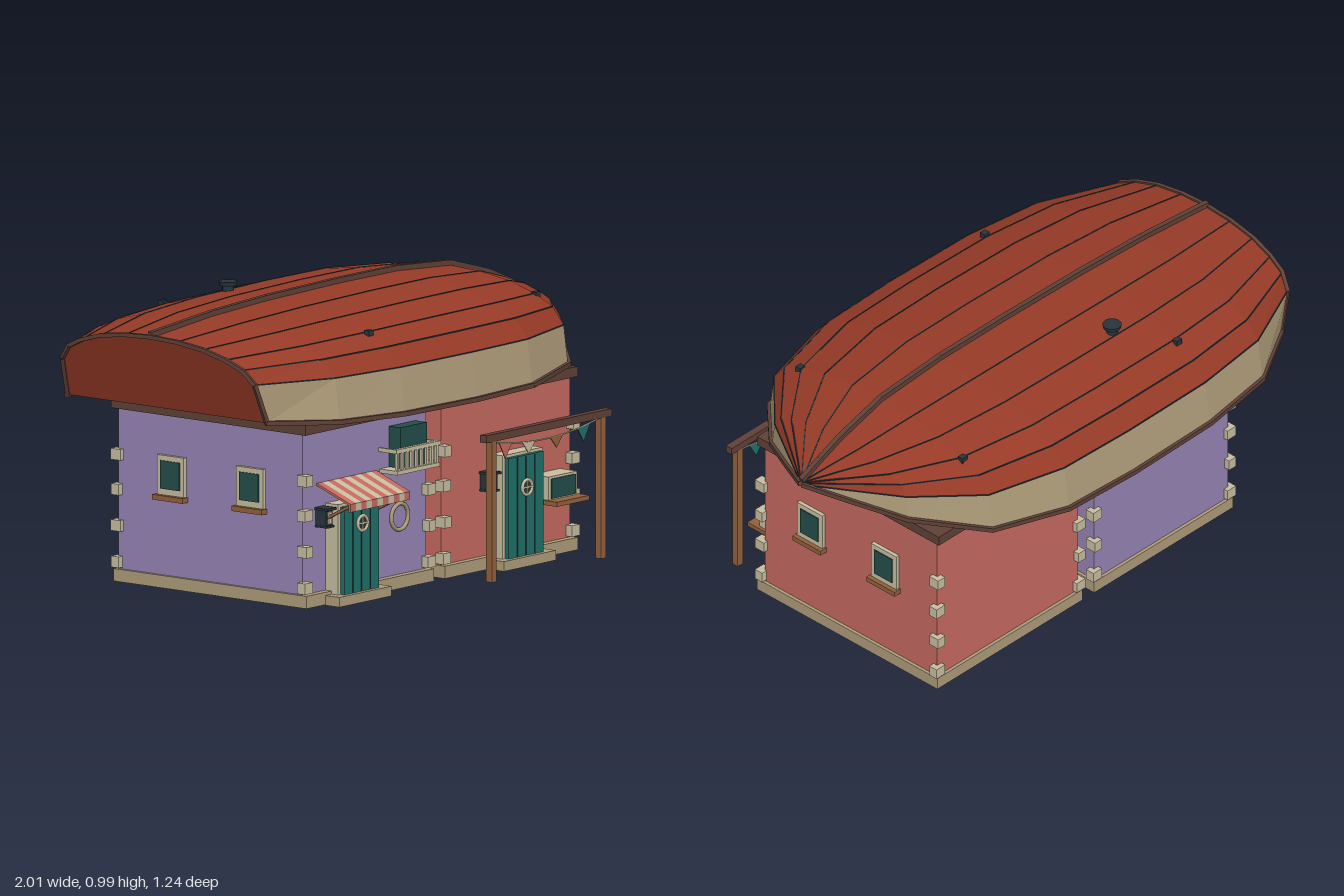
import * as THREE from 'three';

const mat = (name, color, side = THREE.FrontSide) => {
  const m = new THREE.MeshStandardMaterial({ color, side });
  m.name = name;
  return m;
};

export function createModel() {
  const M = {
    salmon: mat('salmon', 0xc4685f), purple: mat('purple', 0x9482b2),
    red: mat('hullRed', 0x963a27), cream: mat('cream', 0xc6bc9f),
    sand: mat('sand', 0xad9b79), teal: mat('teal', 0x1f6f68),
    glass: mat('darkTealGlass', 0x234d49), navy: mat('navy', 0x27343c),
    brown: mat('darkBrown', 0x5e4036), wood: mat('wood', 0x91603c),
  };
  const model = new THREE.Group();
  const group = (name, parent = model) => {
    const g = new THREE.Group();
    g.name = name;
    parent.add(g);
    return g;
  };
  const add = (parent, name, geo, m, x = 0, y = 0, z = 0) => {
    const mesh = new THREE.Mesh(geo, m);
    mesh.name = name;
    mesh.position.set(x, y, z);
    parent.add(mesh);
    return mesh;
  };
  // box given by its limits on each axis
  const box = (parent, name, m, x0, x1, y0, y1, z0, z1) =>
    add(parent, name, new THREE.BoxGeometry(x1 - x0, y1 - y0, z1 - z0), m,
      (x0 + x1) / 2, (y0 + y1) / 2, (z0 + z1) / 2);
  // bar running from point a to point b
  const bar = (parent, name, m, a, b, w, h = w) => {
    const A = new THREE.Vector3(...a), B = new THREE.Vector3(...b);
    const mesh = add(parent, name, new THREE.BoxGeometry(w, h, A.distanceTo(B) + w * 0.3), m,
      (a[0] + b[0]) / 2, (a[1] + b[1]) / 2, (a[2] + b[2]) / 2);
    mesh.lookAt(B);
    return mesh;
  };
  const path = (parent, name, m, pts, w, h) => {
    for (let i = 1; i < pts.length; i++) bar(parent, name, m, pts[i - 1], pts[i], w, h);
  };
  // faceted skin over a list of cross-sections
  const skin = (rows, flip = false) => {
    const out = [];
    for (let i = 0; i + 1 < rows.length; i++) for (let j = 0; j + 1 < rows[i].length; j++) {
      const a = rows[i][j], b = rows[i][j + 1], c = rows[i + 1][j], d = rows[i + 1][j + 1];
      const q = flip ? [a, c, b, c, d, b] : [a, b, c, c, b, d];
      q.forEach(p => out.push(...p));
    }
    const g = new THREE.BufferGeometry();
    g.setAttribute('position', new THREE.Float32BufferAttribute(out, 3));
    g.computeVertexNormals();
    return g;
  };

  // ---- upturned boat roof: x, half width, keel height, gunwale height
  const hull = group('upturnedBoatRoof');
  const stations = [
    [-1, 0.435, 0.925, 0.665], [-0.68, 0.565, 0.953, 0.652], [-0.38, 0.605, 0.966, 0.644],
    [0, 0.61, 0.972, 0.641], [0.31, 0.6, 0.971, 0.645], [0.6, 0.52, 0.95, 0.668],
    [0.8, 0.32, 0.893, 0.715], [0.9, 0.155, 0.852, 0.76], [0.99, 0.004, 0.812, 0.803],
  ];
  const half = [[0, 1], [0.26, 0.96], [0.51, 0.84], [0.72, 0.63], [0.87, 0.39], [0.965, 0]];
  const rows = stations.map(([x, w, keel, low], i) => {
    const side = half.map(([f, h]) => [f * w, 0.8 + h * (keel - 0.8)]);
    side.push([w, low]);
    const pts = [...side.slice(1).reverse().map(([z, y]) => [-z, y]), ...side];
    return pts.map(([z, y]) => [i ? x : x + 0.09 * (keel - y) / (keel - low), y, z]);
  });
  add(hull, 'hullPlanking', skin(rows.map(r => r.slice(1, 12))), M.red);
  add(hull, 'hullSideRight', skin(rows.map(r => r.slice(0, 2))), M.sand);
  add(hull, 'hullSideLeft', skin(rows.map(r => r.slice(11))), M.sand);
  const inner = rows.map(r => r.map(([x, y, z]) => [x + (x < -0.9 ? 0.012 : 0), y - (y > 0.8 ? 0.01 : 0), z * 0.982]));
  add(hull, 'hullLining', skin(inner, true), M.navy);
  // transom closes the stern on both sides
  const stern = [rows[0].map(([, , z]) => [-0.91, 0.665, z]), rows[0]];
  add(hull, 'transom', skin(stern), M.red);
  add(hull, 'transomInside', skin(stern, true), M.red);
  path(hull, 'sternTrim', M.brown, rows[0], 0.014);
  for (const j of [0, 12]) path(hull, 'gunwale', M.brown, rows.map(r => r[j]), 0.022, 0.016);
  for (let j = 1; j < 12; j++) if (j !== 6) path(hull, 'plankSeam', M.navy, rows.map(r => r[j]), 0.004);
  path(hull, 'keel', M.brown, rows.map(r => [r[6][0], r[6][1] + 0.006, 0]), 0.018, 0.024);
  for (const z of [-1, 1]) {
    box(hull, 'hullPlug', M.navy, -0.395, -0.37, 0.895, 0.914, z * 0.45 - 0.011, z * 0.45 + 0.011);
    box(hull, 'hullPlug', M.navy, 0.587, 0.612, 0.88, 0.902, z * 0.38 - 0.011, z * 0.38 + 0.011);
  }
  add(hull, 'ventPipe', new THREE.CylinderGeometry(0.02, 0.02, 0.04, 12), M.navy, -0.23, 0.95, -0.29);
  add(hull, 'ventCap', new THREE.CylinderGeometry(0.033, 0.03, 0.014, 12), M.navy, -0.23, 0.97, -0.29);

  // ---- two houses
  const house = (name, wall, x0, x1, end) => {
    const g = group(name);
    box(g, 'walls', wall, x0, x1, 0, 0.605, -0.375, 0.43);
    box(g, 'plinth', M.sand, x0 - 0.012, x1 + 0.012, 0.002, 0.045, -0.387, 0.456);
    for (const x of [x0, x1]) for (const z of [-0.375, 0.44]) [0.07, 0.195, 0.32, 0.44].forEach((y, i) => {
      const wx = i % 2 ? 0.017 : 0.021, wz = i % 2 ? 0.021 : 0.017;
      box(g, 'cornerStone', M.cream, x - wx, x + wx, y - 0.019, y + 0.019, z - wz, z + wz);
    });
    // windows on the outer end wall
    const s = Math.sign(end);
    const slab = (n, m, d, y0, y1, z, w) =>
      add(g, n, new THREE.BoxGeometry(d, y1 - y0, w), m, end + s * d / 2, (y0 + y1) / 2, z);
    for (const z of [0.208, -0.138]) {
      slab('windowFrame', M.cream, 0.014, 0.315, 0.46, z, 0.118);
      slab('windowGlass', M.glass, 0.018, 0.345, 0.442, z, 0.084);
      slab('windowSill', M.wood, 0.03, 0.306, 0.324, z, 0.132);
    }
    return g;
  };
  const purple = house('purpleHouse', M.purple, -0.712, -0.052, -0.712);
  const salmon = house('salmonHouse', M.salmon, 0.03, 0.72, 0.72);
  box(model, 'wallPlate', M.brown, -0.735, 0.728, 0.6, 0.635, -0.39, 0.46);

  // ---- doors with a wheel-shaped window
  const door = (parent, cx, top) => {
    const g = group('door', parent);
    box(g, 'doorFrame', M.cream, cx - 0.107, cx + 0.107, 0.03, top + 0.005, 0.43, 0.484);
    box(g, 'doorLeaf', M.teal, cx - 0.093, cx + 0.093, 0.03, top - 0.005, 0.43, 0.5);
    for (const d of [-0.046, 0, 0.046]) box(g, 'plankGap', M.navy, cx + d - 0.002, cx + d + 0.002, 0.035, top - 0.008, 0.499, 0.502);
    const port = add(g, 'portholeGlass', new THREE.CylinderGeometry(0.026, 0.026, 0.006, 16), M.navy, cx, 0.27, 0.502);
    port.rotation.x = Math.PI / 2;
    add(g, 'portholeRing', new THREE.TorusGeometry(0.026, 0.006, 6, 20), M.cream, cx, 0.27, 0.505);
    box(g, 'portholeBar', M.cream, cx - 0.026, cx + 0.026, 0.267, 0.273, 0.503, 0.509);
    box(g, 'portholeBar', M.cream, cx - 0.003, cx + 0.003, 0.244, 0.296, 0.503, 0.509);
    box(g, 'doorStep', M.sand, cx - 0.14, cx + 0.14, 0, 0.034, 0.44, 0.517);
  };
  door(purple, -0.482, 0.34);
  door(salmon, 0.4, 0.385);

  const lantern = (parent, x) => {
    const g = group('lantern', parent);
    box(g, 'lanternBack', M.navy, x - 0.018, x + 0.018, 0.275, 0.335, 0.43, 0.475);
    box(g, 'lanternLight', M.cream, x - 0.008, x + 0.008, 0.283, 0.325, 0.47, 0.48);
    box(g, 'lanternCap', M.navy, x - 0.025, x + 0.025, 0.33, 0.338, 0.43, 0.487);
    box(g, 'lanternFoot', M.navy, x - 0.021, x + 0.021, 0.27, 0.277, 0.43, 0.482);
  };
  lantern(purple, -0.625);
  lantern(salmon, 0.258);

  // ---- striped awning
  const awning = group('awning', purple), n = 11, w = 0.32 / n;
  for (let i = 0; i < n; i++) {
    const x = -0.64 + (i + 0.5) * w, m = i % 2 ? M.cream : M.salmon;
    bar(awning, 'awningStripe', m, [x, 0.415, 0.435], [x, 0.362, 0.575], w, 0.008);
    box(awning, 'awningValance', m, x - w / 2, x + w / 2, 0.336, 0.364, 0.572, 0.58);
  }
  for (const x of [-0.63, -0.332]) bar(awning, 'awningStrut', M.wood, [x, 0.285, 0.435], [x, 0.355, 0.572], 0.01);

  // ---- balcony and its window
  const balcony = group('balcony', purple);
  box(balcony, 'balconyWindow', M.glass, -0.25, -0.108, 0.42, 0.562, 0.43, 0.48);
  box(balcony, 'balconyFloor', M.cream, -0.3, -0.072, 0.408, 0.422, 0.43, 0.508);
  box(balcony, 'balconyRail', M.cream, -0.305, -0.067, 0.482, 0.496, 0.492, 0.508);
  for (const x of [-0.3, -0.077]) box(balcony, 'balconySideRail', M.cream, x - 0.005, x + 0.005, 0.482, 0.496, 0.43, 0.5);
  for (let i = 0; i < 9; i++) {
    const x = -0.292 + i * 0.0263;
    box(balcony, 'baluster', M.cream, x - 0.005, x + 0.005, 0.42, 0.485, 0.495, 0.505);
  }
  add(purple, 'ropeRing', new THREE.TorusGeometry(0.045, 0.007, 8, 24), M.sand, -0.2, 0.245, 0.437);

  // ---- shop hatch with counter
  const hatch = group('shopHatch', salmon);
  box(hatch, 'hatchFrame', M.cream, 0.515, 0.668, 0.2, 0.288, 0.43, 0.505);
  box(hatch, 'hatchGlass', M.glass, 0.527, 0.656, 0.212, 0.28, 0.5, 0.509);
  box(hatch, 'counter', M.wood, 0.505, 0.68, 0.192, 0.208, 0.43, 0.55);

  // ---- timber frame with bunting
  const frame = group('timberFrame');
  for (const x of [0.082, 0.668]) box(frame, 'post', M.wood, x - 0.0125, x + 0.0125, 0, 0.49, 0.595, 0.62);
  box(frame, 'crossBeam', M.brown, 0.04, 0.712, 0.484, 0.51, 0.593, 0.621);
  const ropeY = x => 0.45 + 0.35 * (x - 0.375) ** 2;
  const rope = Array.from({ length: 9 }, (_, i) => new THREE.Vector3(0.095 + i * 0.07, ropeY(0.095 + i * 0.07), 0.6));
  add(frame, 'buntingRope', new THREE.TubeGeometry(new THREE.CatmullRomCurve3(rope), 24, 0.003, 5), M.cream);
  [[0.165, M.salmon], [0.29, M.cream], [0.44, M.wood], [0.585, M.teal]].forEach(([x, m]) => {
    const flag = new THREE.Shape([[-0.034, ropeY(x - 0.034)], [0, 0.412], [0.034, ropeY(x + 0.034)]].map(p => new THREE.Vector2(...p)));
    add(frame, 'buntingFlag', new THREE.ExtrudeGeometry(flag, { depth: 0.004, bevelEnabled: false }), m, x, 0, 0.598);
  });
  return model;
}
